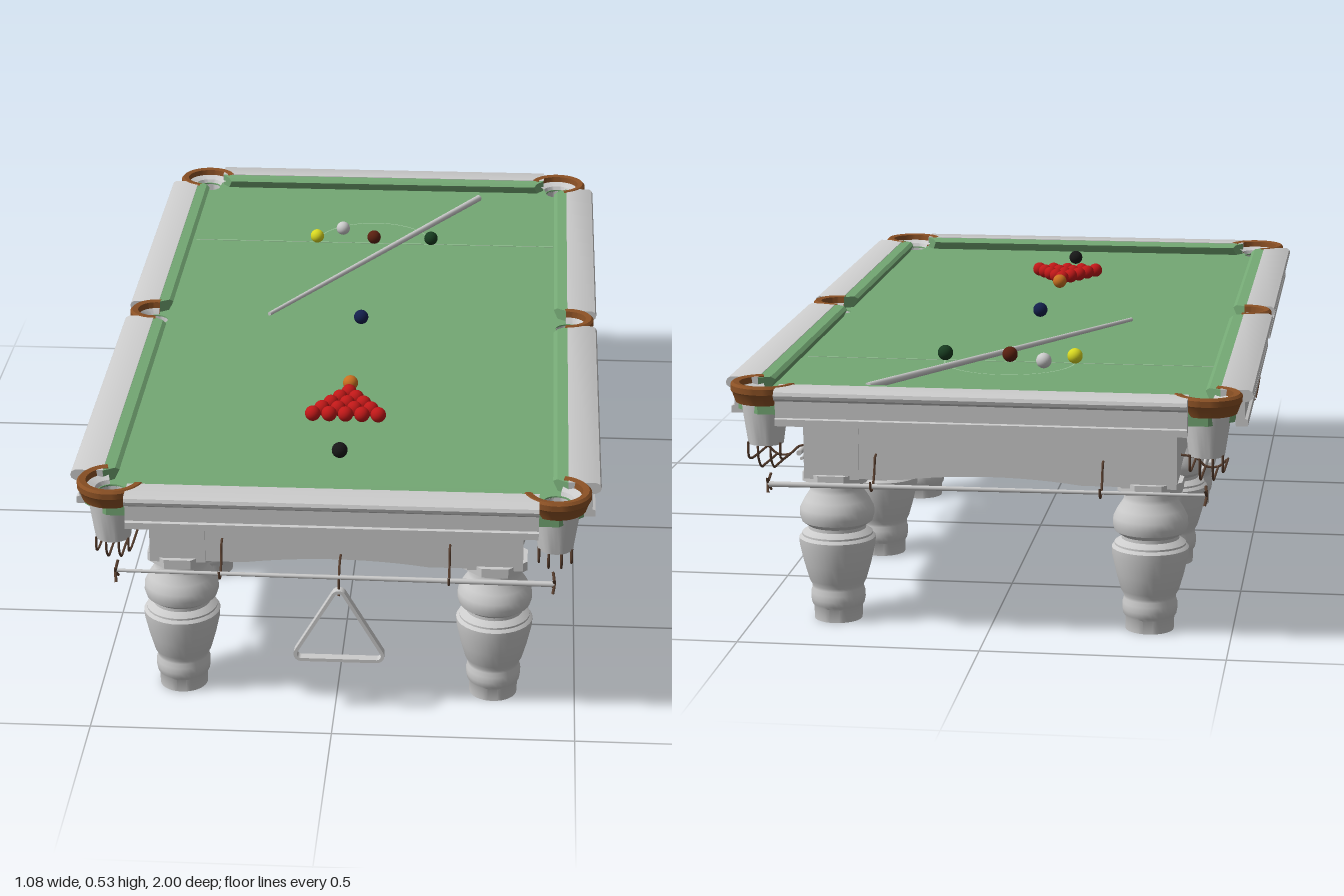
import * as THREE from 'three';
import { toCreasedNormals } from 'three/addons/utils/BufferGeometryUtils.js';

const mat = (color, side = THREE.FrontSide) => new THREE.MeshStandardMaterial({ color, side });
const GREY = mat(0xcccccc), GREY2 = mat(0xcccccc, THREE.DoubleSide);
const CLOTH = mat(0x74a874), LINE = mat(0x9cc49c), WIRE = mat(0x5a4030);
const LEATHER = mat(0x8a5024, THREE.DoubleSide), BRASS = mat(0x85652f);
const RED = mat(0xc01818), BLACK = mat(0x181818);
const BED = 0.5, BALL = 0.0165;
const V = (x, y, z) => new THREE.Vector3(x, y, z);

export function createModel() {
  const root = new THREE.Group();

  const add = (name, geo, material, x = 0, y = 0, z = 0, parent = root) => {
    const m = new THREE.Mesh(geo, material);
    m.name = name;
    m.position.set(x, y, z);
    parent.add(m);
    return m;
  };
  const box = (name, w, h, d, x, y, z, material = GREY) =>
    add(name, new THREE.BoxGeometry(w, h, d), material, x, y, z);
  const lathe = (pts, segs, start = 0, len = Math.PI * 2) =>
    toCreasedNormals(new THREE.LatheGeometry(pts.map(p => new THREE.Vector2(...p)), segs, start, len), 0.6);
  const wire = (name, pts, r = 0.0025, material = WIRE) =>
    add(name, new THREE.TubeGeometry(new THREE.CatmullRomCurve3(pts), 20, r, 6), material);
  const rod = (name, a, b, r1, r2) => {
    const dir = b.clone().sub(a);
    const m = add(name, new THREE.CylinderGeometry(r2, r1, dir.length(), 12), GREY);
    m.position.copy(a).addScaledVector(dir, 0.5);
    m.quaternion.setFromUnitVectors(V(0, 1, 0), dir.normalize());
    return m;
  };
  const outline = pts => new THREE.Shape(pts.map(p => new THREE.Vector2(...p)));

  // Pocket positions: four corners and two middles
  const pockets = [];
  for (const sx of [-1, 1]) for (const sz of [-1, 0, 1])
    pockets.push({ x: sx * (sz ? 0.45 : 0.475), z: sz * 0.912, sx, sz });

  // Cloth-covered bed with pocket holes
  const w = 0.505, l = 0.965, c = 0.05;
  const bed = outline([[w, c - l], [w, l - c], [w - c, l], [c - w, l], [-w, l - c], [-w, c - l], [c - w, -l], [w - c, -l]]);
  for (const p of pockets) {
    const hole = new THREE.Path();
    hole.absarc(p.x, p.z, 0.028, 0, Math.PI * 2, true);
    bed.holes.push(hole);
  }
  add('bed', new THREE.ExtrudeGeometry(bed, { depth: 0.03, bevelEnabled: false, curveSegments: 24 })
    .rotateX(-Math.PI / 2), CLOTH, 0, BED - 0.03, 0);

  // Wooden rails with aprons, and cloth cushions whose ends narrow towards the nose
  const railProfile = outline([[-0.067, 0.527], [-0.067, 0.49], [-0.04, 0.49], [-0.035, 0.452], [-0.011, 0.452],
    [-0.011, 0.466], [-0.017, 0.468], [-0.017, 0.502], [-0.009, 0.504], [-0.002, 0.509], [0, 0.516],
    [-0.003, 0.523], [-0.01, 0.527]]);
  const cushionProfile = outline([[-0.066, 0.526], [-0.09, 0.525], [-0.098, 0.519], [-0.096, 0.514],
    [-0.088, 0.499], [-0.066, 0.499]]);
  const prism = (shape, length) => new THREE.ExtrudeGeometry(shape, { depth: length, bevelEnabled: false })
    .translate(0, 0, -length / 2);
  const rail = (outer, along, length, angle) => {
    const g = new THREE.Group();
    g.name = 'rail';
    g.rotation.y = angle;
    root.add(g);
    add('railWood', toCreasedNormals(prism(railProfile, length), 0.6), GREY, outer, 0, along, g);
    const cushion = prism(cushionProfile, length);
    const pos = cushion.attributes.position;
    for (let i = 0; i < pos.count; i++) {
      const t = (-0.066 - pos.getX(i)) / 0.032;
      pos.setZ(i, pos.getZ(i) - Math.sign(pos.getZ(i)) * 0.024 * t);
    }
    cushion.computeVertexNormals();
    add('cushion', cushion, CLOTH, outer, 0, along, g);
  };
  for (const a of [0, Math.PI]) {
    for (const s of [-1, 1]) rail(0.54, s * 0.46, 0.83, a);
    rail(1, 0, 0.83, a + Math.PI / 2);
  }

  // Pockets: leather collar, inner lip, tapered cup and the wire ball run below
  for (const { x, z, sx, sz } of pockets) {
    const r = sz ? 0.07 : 0.058;
    const phi = Math.atan2(sx, sz), span = sz ? 4.2 : 3.4;
    add('pocketCollar', lathe([[r - 0.022, 0.492], [r - 0.01, 0.488], [r - 0.003, 0.508], [r, 0.512], [r, 0.524],
      [r - 0.005, 0.529], [r - 0.018, 0.527], [r - 0.022, 0.492]], 32, phi - span / 2, span), LEATHER, x, 0, z);
    add('pocketLip', lathe([[0.028, 0.495], [r - 0.018, 0.495], [r - 0.018, 0.515], [0.034, 0.508], [0.028, 0.495]],
      28, phi - span / 2, span), GREY2, x, 0, z);
    add('pocketCup', lathe([[0.026, 0.4], [0.036, 0.4], [0.047, 0.475], [0.048, 0.492], [0.028, 0.497], [0.026, 0.4]],
      28), GREY2, x, 0, z);
    const d = sz > 0 ? -1 : sz < 0 ? 1 : -1;
    const end = sz ? 0.165 : 0.16;
    [-0.033, -0.013, 0.013, 0.033].forEach((dx, i) => {
      const low = i === 1 || i === 2 ? 0.343 : 0.36;
      const back = z - d * 0.018;
      wire('ballRunWire', [V(x + dx, 0.405, back), V(x + dx, 0.375, back), V(x + dx, low + 0.004, z + d * 0.01),
        V(x + dx, low, z + d * 0.05), V(x + dx, low - 0.006, z + d * end)]);
    });
    // Stop at the end of the run, fixed to the cabinet
    wire('ballRunStop', [V(x + sx * 0.033, 0.354, z + d * end), V(x + sx * 0.013, 0.337, z + d * end),
      V(x - sx * 0.013, 0.337, z + d * end), V(x - sx * 0.033, 0.354, z + d * end), V(sx * 0.38, 0.36, z + d * end)]);
  }

  // Cabinet with gently arched lower edges, corner and middle posts, plaque
  const arched = (half, rise, bays) => {
    const s = new THREE.Shape();
    s.moveTo(half, 0.475).lineTo(-half, 0.475).lineTo(-half, 0.312);
    const step = 2 * half / bays;
    for (let i = 0; i < bays; i++) {
      const a = -half + i * step;
      s.lineTo(a + step * 0.25, 0.312);
      s.quadraticCurveTo(a + step / 2, 0.312 + rise, a + step * 0.75, 0.312);
      s.lineTo(a + step, 0.312);
    }
    return new THREE.ExtrudeGeometry(s, { depth: 0.02, bevelEnabled: false });
  };
  box('cabinet', 0.74, 0.15, 1.67, 0, 0.397, 0);
  for (const a of [0, Math.PI]) {
    const end = add('endPanel', arched(0.38, 0.025, 1), GREY);
    end.rotation.y = a;
    end.position.z = Math.cos(a) * 0.827;
    const side = add('sidePanel', arched(0.84, 0.02, 3), GREY);
    side.rotation.y = a + Math.PI / 2;
    side.position.x = Math.cos(a) * 0.361;
  }
  box('plaque', 0.145, 0.03, 0.006, 0.008, 0.42, 0.849, BRASS);

  // Turned legs under octagonal pads
  const legGeo = lathe([[0, 0], [0.05, 0], [0.051, 0.028], [0.055, 0.034], [0.057, 0.045], [0.057, 0.058],
    [0.054, 0.068], [0.054, 0.074], [0.06, 0.085], [0.07, 0.12], [0.079, 0.16], [0.08, 0.176], [0.074, 0.182],
    [0.074, 0.186], [0.06, 0.195], [0.06, 0.202], [0.074, 0.212], [0.078, 0.225], [0.077, 0.24], [0.068, 0.258],
    [0.056, 0.276], [0.054, 0.284], [0.054, 0.306], [0, 0.306]], 32);
  const padGeo = new THREE.CylinderGeometry(0.072, 0.072, 0.02, 8).rotateY(Math.PI / 8).toNonIndexed();
  padGeo.computeVertexNormals();
  for (const x of [-0.328, 0.328]) for (const z of [-0.795, -0.265, 0.265, 0.795]) {
    add('leg', legGeo, GREY, x, 0, z);
    add('legPad', padGeo, GREY, x, 0.309, z);
    const corner = Math.abs(z) > 0.5;
    box('cabinetPost', 0.115, 0.165, corner ? 0.112 : 0.145, x, 0.393, z);
  }

  // Cue hooks and hanging cues on all four sides
  const hook = (px, pz, nx, nz, reach) => {
    const at = (o, y) => V(px + nx * o, y, pz + nz * o);
    wire('cueHook', [at(-0.005, 0.365), at(0.012, 0.362), at(0.02, 0.335), at(reach - 0.015, 0.306),
      at(reach, 0.302), at(reach + 0.012, 0.31), at(reach + 0.014, 0.325)]);
  };
  for (const s of [-1, 1]) {
    for (const t of [-1, 1]) {
      hook(t * 0.235, s * 0.847, 0, s, 0.056);
      hook(s * 0.381, t * 0.48, s, 0, 0.05);
    }
    rod('hangingCue', V(-0.45, 0.314, s * 0.903), V(0.45, 0.31, s * 0.903), 0.0035, 0.006);
    rod('hangingCue', V(s * 0.426, 0.311, -0.68), V(s * 0.426, 0.311, 0.64), 0.0035, 0.006);
    rod('hangingCue', V(s * 0.44, 0.313, 0.7), V(s * 0.44, 0.313, -0.64), 0.0035, 0.006);
    // Crossed rest heads at the ends of the end rods
    for (const t of [-1, 1]) for (const k of [-1, 1])
      wire('restHead', [V(s * 0.447, 0.312 - 0.017, t * 0.903 - k * 0.017), V(s * 0.45, 0.312, t * 0.903),
        V(s * 0.447, 0.312 + 0.017, t * 0.903 + k * 0.017)], 0.003);
  }

  // Ball triangle hanging from a hook
  const roundedTriangle = (path, r) => {
    [[0, 0.27, 90], [-0.078, 0.137, 210], [0.078, 0.137, 330]].forEach(([x, y, a]) =>
      path.absarc(x, y, r, (a - 60) * Math.PI / 180, (a + 60) * Math.PI / 180, false));
    path.closePath();
    return path;
  };
  const tri = roundedTriangle(new THREE.Shape(), 0.016);
  tri.holes.push(roundedTriangle(new THREE.Path(), 0.009));
  add('triangleFrame', new THREE.ExtrudeGeometry(tri, { depth: 0.02, bevelEnabled: false }), GREY, 0.01, 0, 0.895);
  wire('triangleHook', [V(0.01, 0.335, 0.845), V(0.01, 0.334, 0.88), V(0.01, 0.31, 0.905), V(0.01, 0.274, 0.905),
    V(0.01, 0.275, 0.918)]);

  // Line and half circle on the cloth
  box('baulkLine', 0.88, 0.001, 0.003, 0, BED + 0.0005, -0.525, LINE);
  add('baulkArc', new THREE.RingGeometry(0.1385, 0.1415, 40, 1, 0, Math.PI).rotateX(-Math.PI / 2), LINE,
    0, BED + 0.001, -0.525);

  // Balls on the cloth and in the front run
  const ballGeo = new THREE.SphereGeometry(BALL, 24, 16);
  const ball = (name, material, x, z, y = BED + BALL) => add(name, ballGeo, material, x, y, z);
  ball('yellowBall', mat(0xd8d820), -0.14, -0.525);
  ball('whiteBall', mat(0xe8e8e8), -0.08, -0.583);
  ball('brownBall', mat(0x5a2010), 0, -0.525);
  ball('greenBall', mat(0x183c20), 0.14, -0.525);
  ball('blueBall', mat(0x14204c), 0, 0.008 - 0.013);
  ball('orangeBall', mat(0xc87020), 0, 0.375);
  ball('blackBall', BLACK, 0, 0.725);
  for (let row = 0; row < 5; row++) for (let i = 0; i <= row; i++)
    ball('redBall', RED, (i - row / 2) * 0.035, 0.424 + row * 0.0295);
  ball('redBall', RED, 0.45, 0.832, 0.363);
  ball('redBall', RED, 0.45, 0.798, 0.361);
  ball('blackBall', BLACK, 0.45, 0.764, 0.359);

  // Cue lying on the table
  rod('cue', V(-0.215, BED + 0.005, -0.038), V(0.25, BED + 0.008, -0.845), 0.0045, 0.008);

  return root;
}
